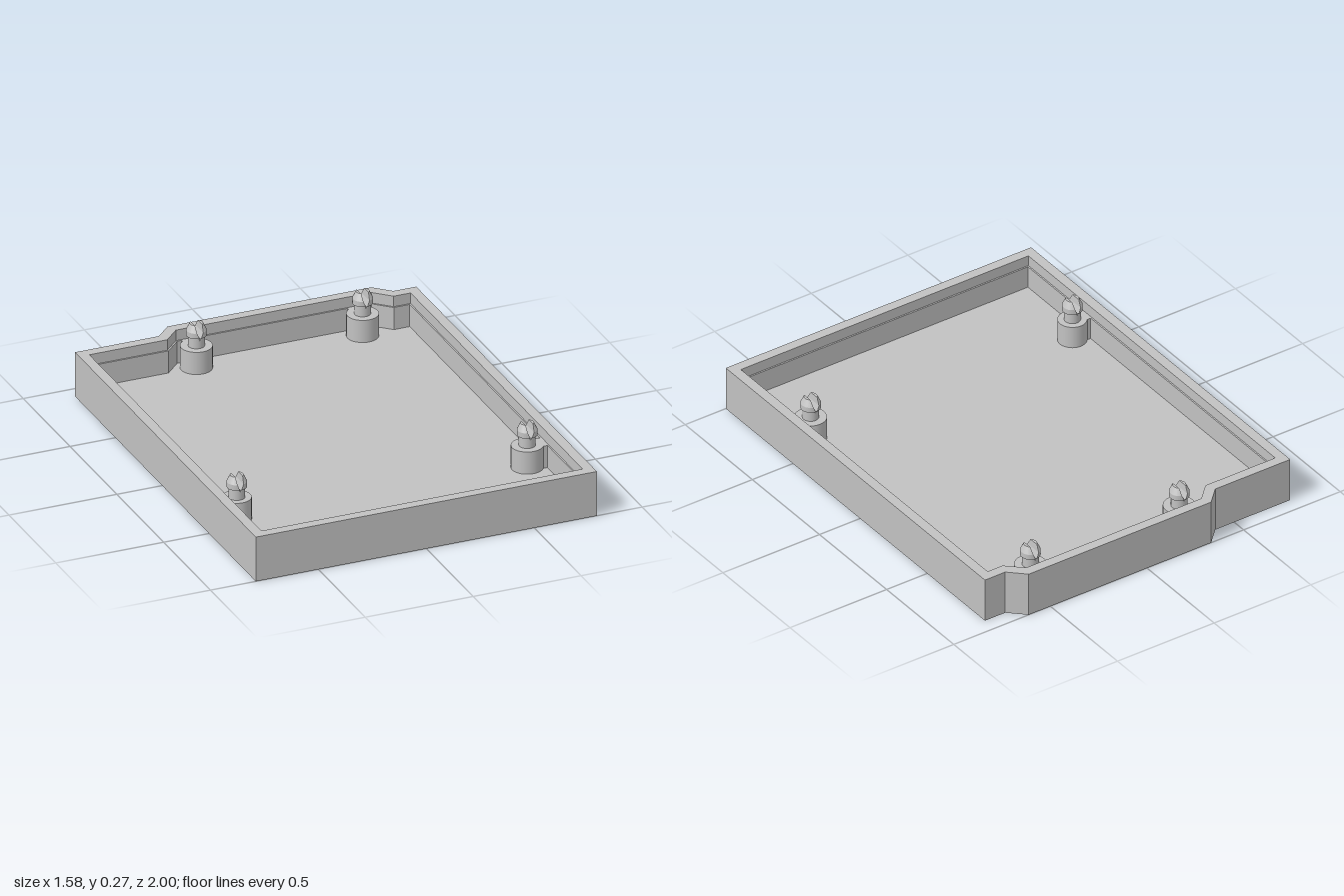
import * as THREE from 'three';

const FLOOR = 0.055, LEDGE = 0.16, RIM = 0.21;

// Plan outline of the tray, inset by d from the outer wall
function outline(d) {
  const k = d * 0.414; // shift of the slanted corners
  return [
    [-0.79 + d, 1 - d], [0.79 - d, 1 - d], [0.79 - d, -0.93 + d], [0.685 - k, -0.93 + d],
    [0.612 - k, -1 + d], [-0.332 + k, -1 + d], [-0.402 + k, -0.93 + d], [-0.79 + d, -0.93 + d],
  ].map(([x, z]) => new THREE.Vector2(x, -z));
}

// Upright slab of the outline between two heights, hollow if an inset is given
function slab(y0, y1, inset) {
  const shape = new THREE.Shape(outline(0));
  if (inset) shape.holes.push(new THREE.Path(outline(inset)));
  const g = new THREE.ExtrudeGeometry(shape, { depth: y1 - y0, bevelEnabled: false });
  return g.rotateX(-Math.PI / 2).translate(0, y0, 0);
}

// One half of the split snap pin: circular segments with x >= gap, stacked by height
function prongGeometry() {
  const rows = [ // height, radius, half gap
    [0.195, 0.036, 0.0], [0.208, 0.036, 0.003], [0.21, 0.044, 0.004],
    [0.235, 0.044, 0.014], [0.266, 0.029, 0.017],
  ];
  const n = 14, pos = [], index = [];
  for (const [y, r, gap] of rows) {
    const a = Math.acos(gap / r);
    for (let i = 0; i <= n; i++) {
      const t = -a + (2 * a * i) / n;
      pos.push(r * Math.cos(t), y, r * Math.sin(t));
    }
  }
  const m = n + 1;
  for (let j = 0; j < rows.length - 1; j++) {
    for (let i = 0; i < m; i++) {
      const a = j * m + i, b = j * m + ((i + 1) % m);
      index.push(a, a + m, b, b, a + m, b + m);
    }
  }
  const top = (rows.length - 1) * m;
  for (let i = 1; i < n; i++) index.push(top, top + i + 1, top + i);
  const g = new THREE.BufferGeometry();
  g.setAttribute('position', new THREE.Float32BufferAttribute(pos, 3));
  g.setIndex(index);
  const flat = g.toNonIndexed();
  flat.computeVertexNormals();
  return flat;
}

export function createModel() {
  const model = new THREE.Group();
  model.name = 'tray';
  const grey = new THREE.MeshStandardMaterial({ color: 0xc2c2c2 });
  grey.name = 'grey plastic';

  const add = (parent, name, geometry, x = 0, y = 0, z = 0) => {
    const mesh = new THREE.Mesh(geometry, grey);
    mesh.name = name;
    mesh.position.set(x, y, z);
    parent.add(mesh);
    return mesh;
  };

  // Shell: floor, lower wall with a narrow ledge, and rim
  add(model, 'floor', slab(0, FLOOR));
  add(model, 'lowerWall', slab(FLOOR, LEDGE, 0.053));
  add(model, 'rim', slab(LEDGE, RIM, 0.046));

  // Board posts: position, radius, and direction of the rib to the nearest wall
  const posts = [
    { name: 'rearRightPost', x: -0.25, z: -0.88, r: 0.07, dx: 0, dz: -1 },
    { name: 'rearLeftPost', x: 0.52, z: -0.88, r: 0.07, dx: 0, dz: -1 },
    { name: 'frontRightPost', x: -0.67, z: 0.52, r: 0.064, dx: -1, dz: 0 },
    { name: 'frontLeftPost', x: 0.66, z: 0.555, r: 0.07, dx: 1, dz: 0 },
  ];
  const prong = prongGeometry();
  const h = LEDGE - FLOOR, ribLength = 0.08;
  for (const { name, x, z, r, dx, dz } of posts) {
    const post = new THREE.Group();
    post.name = name;
    post.position.set(x, 0, z);
    add(post, 'post', new THREE.CylinderGeometry(r, r, h, 32), 0, FLOOR + h / 2, 0);
    add(post, 'rib', new THREE.BoxGeometry(dx ? ribLength : 0.08, h, dz ? ribLength : 0.08),
      dx * ribLength / 2, FLOOR + h / 2, dz * ribLength / 2);
    add(post, 'pinShaft', new THREE.CylinderGeometry(0.036, 0.036, 0.035, 28), 0, LEDGE + 0.0175, 0);
    for (const turn of [0, Math.PI]) add(post, 'pinProng', prong).rotation.y = turn;
    model.add(post);
  }
  return model;
}
